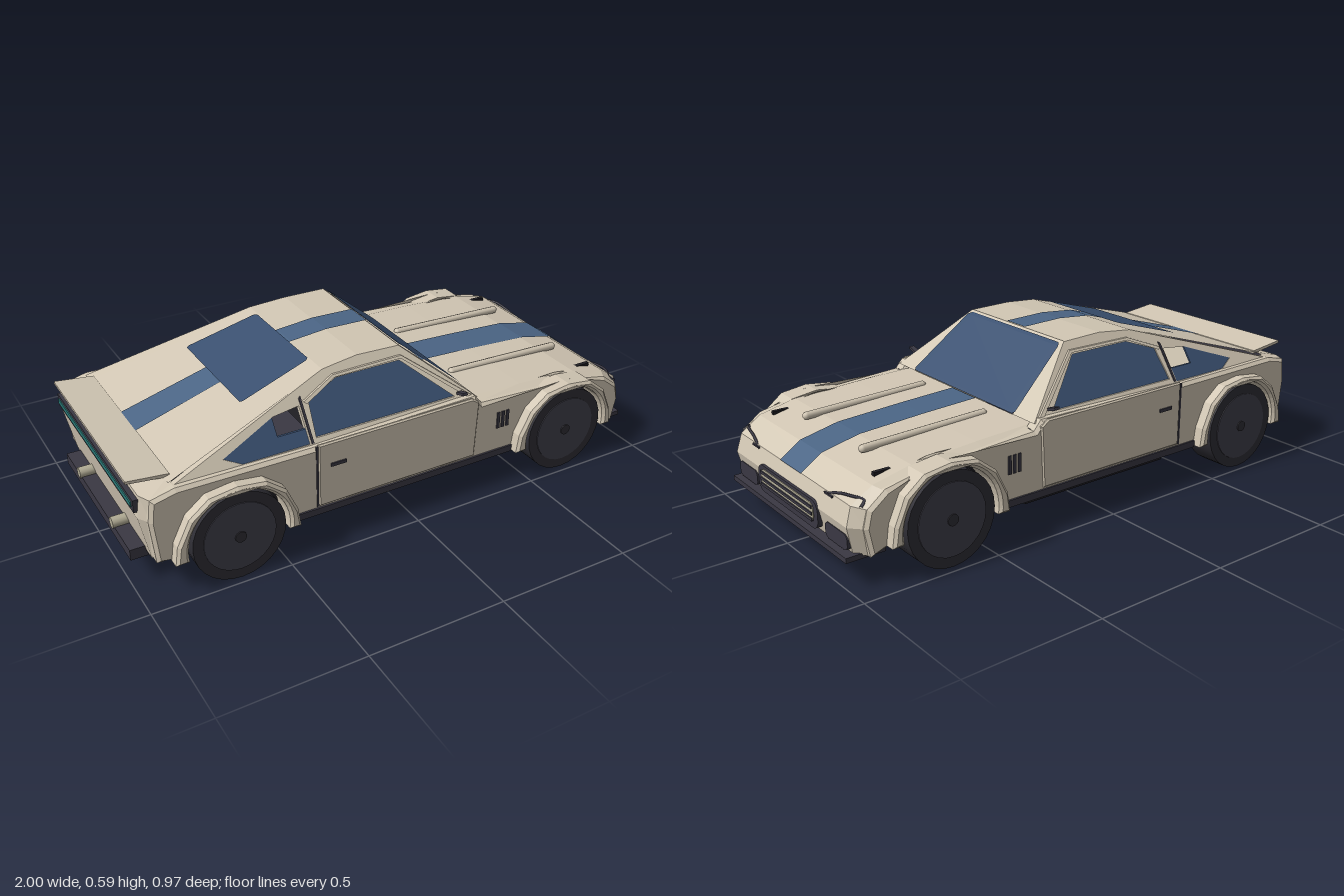
import * as THREE from 'three';

const mat = (name, color) => new THREE.MeshStandardMaterial({ name, color, side: THREE.DoubleSide });

export function createModel() {
  const car = new THREE.Group();
  car.name = 'sportsCoupe';
  const paint = mat('creamPaint', 0xd2c7b4), glass = mat('blueGlass', 0x3a5070), stripe = mat('blueStripe', 0x4b6585);
  const trim = mat('darkTrim', 0x3a3843), black = mat('blackUnderside', 0x1f1e23), tyre = mat('tyreRubber', 0x2f2e35);
  const rim = mat('wheelGrey', 0x403f4a), teal = mat('tealLight', 0x2b7a78), metal = mat('paleMetal', 0xb3ad96);

  const add = (name, geo, material) => {
    const m = new THREE.Mesh(geo, material);
    m.name = name;
    car.add(m);
    return m;
  };
  const box = (name, material, x0, x1, y0, y1, z0, z1) => {
    const m = add(name, new THREE.BoxGeometry(x1 - x0, y1 - y0, Math.abs(z1 - z0)), material);
    m.position.set((x0 + x1) / 2, (y0 + y1) / 2, (z0 + z1) / 2);
    return m;
  };
  // Flat-faced skin through rows of points
  const loft = (name, rows, material) => {
    const n = rows[0].length, index = [];
    for (let i = 0; i < rows.length - 1; i++) for (let j = 0; j < n - 1; j++) {
      const a = i * n + j, c = a + n;
      index.push(a, a + 1, c, a + 1, c + 1, c);
    }
    const g = new THREE.BufferGeometry();
    g.setAttribute('position', new THREE.Float32BufferAttribute(rows.flat(2), 3));
    g.setIndex(index);
    const flat = g.toNonIndexed();
    flat.computeVertexNormals();
    return add(name, flat, material);
  };
  // Row across the car, with its outer ends pulled back and down
  const row = (x, y, w, dx = 0, dy = 0) =>
    [[x - dx, y - dy, -w], [x, y, -0.9 * w], [x, y, 0.9 * w], [x - dx, y - dy, w]];
  const poly = (pts) => new THREE.Shape(pts.map((p) => new THREE.Vector2(...p)));
  // Side-on shape extruded from z0 outward to z1 on side s
  const sidePlate = (name, shape, z0, z1, s, material, bevel = 0) => {
    const g = new THREE.ExtrudeGeometry(shape, {
      depth: z1 - z0 - 2 * bevel, bevelEnabled: bevel > 0, bevelSize: bevel, bevelOffset: -bevel,
      bevelThickness: bevel, bevelSegments: 1, curveSegments: 14,
    });
    g.translate(0, 0, s > 0 ? z0 + bevel : -z1 + bevel);
    return add(name, g, material);
  };
  // Same, leaning inward with height to form the cabin side
  const leanPlate = (name, shape, off, thick, s, material) => {
    const m = sidePlate(name, shape, off, off + thick, s, material), p = m.geometry.attributes.position;
    for (let i = 0; i < p.count; i++) p.setZ(i, p.getZ(i) + s * (0.41 - (p.getY(i) - 0.39) * 0.72));
    m.geometry.computeVertexNormals();
    return m;
  };
  // Rounded plate facing forward
  const nosePlate = (name, x, y, z, w, h, r, material) => {
    const s = new THREE.Shape(), a = w / 2 - r, b = h / 2 - r;
    s.absarc(a, b, r, 0, Math.PI / 2).absarc(-a, b, r, Math.PI / 2, Math.PI);
    s.absarc(-a, -b, r, Math.PI, 1.5 * Math.PI).absarc(a, -b, r, 1.5 * Math.PI, 2 * Math.PI);
    const g = new THREE.ExtrudeGeometry(s, { depth: 0.03, bevelEnabled: false, curveSegments: 6 });
    g.rotateY(Math.PI / 2);
    g.translate(x - 0.03, y, z);
    return add(name, g, material);
  };

  // Bonnet, nose, roof and tail skins
  loft('bonnet', [row(0.27, 0.368, 0.42, 0, 0.01), row(0.5, 0.36, 0.425, 0, 0.015), row(0.75, 0.346, 0.43, 0, 0.015),
    row(0.89, 0.315, 0.43, 0.02, 0.01), row(0.965, 0.265, 0.425, 0.03, 0.005)], paint);
  loft('nose', [row(0.965, 0.265, 0.425, 0.03, 0.005), row(0.985, 0.2, 0.43, 0.04), row(0.962, 0.1, 0.42, 0.04)], paint);
  loft('roof', [row(-0.87, 0.395, 0.4), row(-0.26, 0.575, 0.28), row(-0.12, 0.588, 0.268), row(0.045, 0.584, 0.272)], paint);
  loft('tail', [row(-0.94, 0.12, 0.42, -0.02), row(-0.975, 0.29, 0.43, -0.03), row(-0.965, 0.37, 0.425, -0.02),
    row(-0.86, 0.398, 0.41, 0, 0.01)], paint);
  // Racing stripe
  loft('bonnetStripe', [row(0.28, 0.373, 0.072), row(0.5, 0.364, 0.072), row(0.75, 0.35, 0.073),
    row(0.893, 0.319, 0.073), row(0.969, 0.267, 0.073)], stripe);
  loft('roofStripe', [row(-0.86, 0.402, 0.07), row(-0.26, 0.579, 0.053), row(-0.12, 0.592, 0.053), row(0.045, 0.588, 0.053)], stripe);
  // Windscreen with surround, and rear glass
  const screen = (y, w0, w1, s) => [[0.29 - (y - 0.38) * 1.2, y, s * w0], [0.29 - (y - 0.38) * 1.2, y, s * w1]];
  for (const s of [1, -1]) loft('windscreenPillar',
    [screen(0.584, 0.25, 0.272, s), screen(0.38, 0.3, 0.415, s)], paint);
  loft('windscreenHeader', [row(0.044, 0.585, 0.27), row(0.065, 0.567, 0.275)], paint);
  loft('windscreen', [row(0.055, 0.58, 0.255), row(0.068, 0.572, 0.27), row(0.285, 0.391, 0.308), row(0.293, 0.384, 0.3)], glass);
  loft('rearWindow', [row(-0.54, 0.502, 0.225), row(-0.53, 0.505, 0.23), row(-0.28, 0.579, 0.205), row(-0.27, 0.582, 0.195)], glass);
  box('cowl', trim, 0.275, 0.3, 0.345, 0.362, -0.41, 0.41);

  // Body side outline, walking round both wheel arches
  const side = new THREE.Shape();
  side.moveTo(-0.94, 0.13);
  side.lineTo(-0.85, 0.13);
  side.absarc(-0.67, 0.16, 0.185, Math.PI + 0.16, -0.16, true);
  side.absarc(0.66, 0.16, 0.185, Math.PI + 0.16, -0.16, true);
  for (const p of [[0.93, 0.1], [0.95, 0.2], [0.935, 0.26], [0.87, 0.31], [0.74, 0.337], [0.3, 0.36], [0.27, 0.395],
    [-0.38, 0.385], [-0.86, 0.39], [-0.945, 0.37], [-0.955, 0.29]]) side.lineTo(...p);
  // Wheel arch flare
  const flare = (x) => {
    const f = new THREE.Shape();
    f.moveTo(x - 0.225, 0.13);
    for (const p of [[-0.215, 0.2], [-0.17, 0.29], [-0.1, 0.345], [0, 0.358], [0.1, 0.345], [0.17, 0.29],
      [0.21, 0.2], [0.22, 0.13]]) f.lineTo(x + p[0], p[1]);
    f.absarc(x, 0.16, 0.18, -0.16, Math.PI + 0.16, false);
    return f;
  };
  const cabin = poly([[-0.87, 0.385], [-0.26, 0.574], [-0.12, 0.587], [0.045, 0.583], [0.29, 0.38]]);
  const win = [[-0.35, 0.4], [0.2, 0.4], [0.03, 0.542], [-0.22, 0.542], [-0.34, 0.5]];
  cabin.holes.push(poly(win), poly([[-0.68, 0.415], [-0.48, 0.485], [-0.378, 0.495], [-0.378, 0.388], [-0.62, 0.388]]));
  const quarter = poly([[-0.685, 0.415], [-0.48, 0.49], [-0.48, 0.43], [-0.37, 0.43], [-0.37, 0.386], [-0.62, 0.386]]);

  for (const s of [1, -1]) {
    sidePlate('bodySide', side, 0.375, 0.44, s, paint, 0.012);
    sidePlate('doorPanel', poly([[-0.365, 0.155], [0.27, 0.155], [0.28, 0.375], [0.25, 0.395], [-0.365, 0.395]]), 0.43, 0.445, s, paint, 0.005);
    leanPlate('cabinSide', cabin, -0.022, 0.022, s, paint);
    leanPlate('sideWindow', poly(win), -0.014, 0.008, s, glass);
    leanPlate('quarterWindow', quarter, -0.01, 0.008, s, glass);
    // Door seal, cabin drip rail, handle and wing vents
    leanPlate('pillarSeal', poly([[-0.372, 0.39], [-0.364, 0.39], [-0.364, 0.52], [-0.372, 0.515]]), 0, 0.005, s, trim);
    leanPlate('windowRail', poly([[-0.36, 0.505], [-0.23, 0.555], [0.04, 0.557], [0.27, 0.39], [0.25, 0.39],
      [0.035, 0.549], [-0.225, 0.547], [-0.35, 0.497]]), 0, 0.008, s, paint);
    box('doorSeam', trim, -0.372, -0.365, 0.155, 0.39, s * 0.435, s * 0.443);
    box('doorHandle', trim, -0.32, -0.262, 0.303, 0.315, s * 0.44, s * 0.45);
    for (const x of [0.37, 0.39, 0.41]) box('wingVent', trim, x - 0.006, x + 0.006, 0.24, 0.305, s * 0.435, s * 0.444);
    box('sill', trim, -0.45, 0.44, 0.125, 0.15, s * 0.37, s * 0.447);
    const mirror = box('mirror', trim, 0.205, 0.225, 0.414, 0.424, s * 0.405, s * 0.445);
    mirror.rotation.x = -s * 0.3;

    // Bonnet ridge with rounded ends
    const ridge = add('bonnetRidge', new THREE.CapsuleGeometry(0.015, 0.47, 3, 8), paint);
    ridge.rotation.z = Math.PI / 2 + 0.03 * -1;
    ridge.position.set(0.57, 0.357, s * 0.19);

    // Headlamp slits and lower intakes
    const lamp = new THREE.CatmullRomCurve3([[0.965, 0.262, 0.25], [0.955, 0.277, 0.3], [0.945, 0.285, 0.36],
      [0.925, 0.28, 0.4], [0.945, 0.265, 0.41]].map(([x, y, z]) => new THREE.Vector3(x, y, s * z)));
    add('headlampLine', new THREE.TubeGeometry(lamp, 14, 0.005, 5), trim);
    box('headlampSlit', trim, 0.955, 0.972, 0.256, 0.262, s * 0.23, s * 0.28);
    nosePlate('lowerIntake', 0.981, 0.143, s * 0.31, 0.138, 0.055, 0.02, trim);

    // Wheels, flares and liners
    for (const x of [-0.67, 0.66]) {
      sidePlate('archFlare', flare(x), 0.39, 0.485, s, paint, 0.01);
      sidePlate('archLip', flare(x), 0.39, 0.465, s, paint).scale.set(1, 1, 1);
      box('archLiner', black, x - 0.2, x + 0.2, 0.13, 0.335, s * 0.335, s * 0.35);
      const wheel = new THREE.Group();
      wheel.name = 'wheel';
      const disc = (name, r, h, z, material) => {
        const m = new THREE.Mesh(new THREE.CylinderGeometry(r, r, h, 28), material);
        m.name = name;
        m.rotation.x = Math.PI / 2;
        m.position.z = s * z;
        wheel.add(m);
      };
      disc('tyre', 0.165, 0.115, 0, tyre);
      disc('rim', 0.128, 0.006, 0.058, rim);
      disc('hub', 0.02, 0.006, 0.062, tyre);
      wheel.position.set(x, 0.165, s * 0.4155);
      car.add(wheel);
    }
    // Exhaust pipe
    const pipe = add('exhaust', new THREE.CylinderGeometry(0.02, 0.02, 0.09, 12), metal);
    pipe.rotation.z = Math.PI / 2;
    pipe.position.set(-0.955, 0.145, s * 0.17);
    box('floorEdge', black, 0.28, 0.4, 0.11, 0.13, s * 0.2, s * 0.37);
  }

  // Grille
  nosePlate('grille', 0.989, 0.17, 0, 0.42, 0.098, 0.035, trim);
  nosePlate('grilleInsert', 0.992, 0.175, 0, 0.37, 0.065, 0.025, metal);
  for (const y of [0.152, 0.172, 0.195]) box('grilleBar', trim, 0.975, 0.996, y - 0.005, y + 0.005, -0.18, 0.18);

  // Tail light bar and spoiler
  box('tailPanel', trim, -0.984, -0.955, 0.312, 0.358, -0.385, 0.385);
  box('tailLight', teal, -0.988, -0.96, 0.327, 0.345, -0.37, 0.37);
  const spoiler = new THREE.ExtrudeGeometry(poly([[-0.85, 0.392], [-0.85, 0.404], [-0.995, 0.42], [-0.995, 0.41]]),
    { depth: 0.73, bevelEnabled: false });
  spoiler.translate(0, 0, -0.365);
  add('spoiler', spoiler, paint);

  // Splitter, diffuser and floor
  box('splitter', trim, 0.86, 1, 0.09, 0.108, -0.4, 0.4);
  box('diffuser', trim, -0.995, -0.82, 0.095, 0.135, -0.33, 0.33);
  box('frontFloor', black, 0.36, 0.94, 0.11, 0.13, -0.365, 0.365);
  box('middleFloor', black, -0.37, 0.28, 0.065, 0.088, -0.355, 0.355);
  box('floorSpacer', trim, -0.37, -0.15, 0.088, 0.13, -0.34, 0.34);
  box('floorBrace', trim, -0.48, -0.37, 0.11, 0.13, -0.28, 0.28);
  box('rearFloor', black, -0.94, -0.48, 0.115, 0.135, -0.365, 0.365);
  return car;
}
